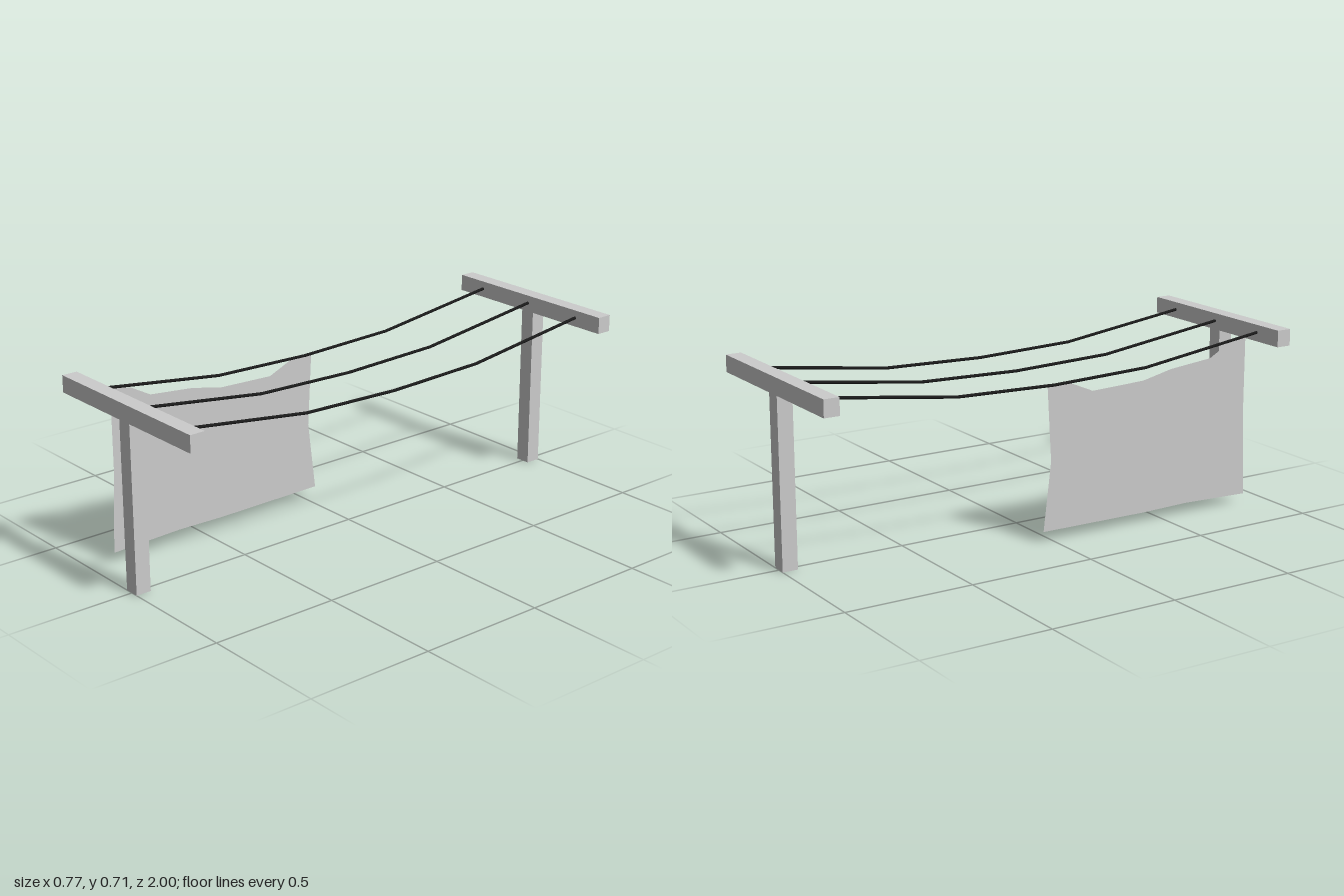
import * as THREE from 'three';

const grey = new THREE.MeshStandardMaterial({ color: 0xcccccc, flatShading: true });
const dark = new THREE.MeshStandardMaterial({ color: 0x1a1a1a });
const cloth = new THREE.MeshStandardMaterial({ color: 0xcccccc, side: THREE.DoubleSide });

const LINE_X = 0.258;

function add(parent, name, geometry, material, x = 0, y = 0, z = 0) {
  const mesh = new THREE.Mesh(geometry, material);
  mesh.name = name;
  mesh.position.set(x, y, z);
  parent.add(mesh);
  return mesh;
}

// Sagging line in four straight segments, one ring at each control point
function lineGeometry() {
  const points = [[0.95, 0.681], [0.41, 0.609], [0, 0.597], [-0.41, 0.609], [-0.95, 0.681]]
    .map(([z, y]) => new THREE.Vector3(0, y, z));
  const curve = new THREE.CatmullRomCurve3(points);
  curve.getPointAt = curve.getPoint;
  curve.getTangentAt = curve.getTangent;
  return new THREE.TubeGeometry(curve, 4, 0.006, 8);
}

// Flat hanging sheet with a drooping top edge, outlined as (z, y)
function sheetGeometry() {
  const outline = [
    [0.9, 0.035], [0.61, 0.044], [0.41, 0.04], [-0.045, 0.043],
    [-0.013, 0.31], [-0.03, 0.595], [0.07, 0.595], [0.17, 0.552],
    [0.4, 0.56], [0.53, 0.588], [0.715, 0.606], [0.8, 0.653],
    [0.885, 0.67], [0.885, 0.36],
  ].map(([z, y]) => new THREE.Vector2(z, y));
  return new THREE.ShapeGeometry(new THREE.Shape(outline)).rotateY(-Math.PI / 2);
}

export function createModel() {
  const model = new THREE.Group();
  model.name = 'clothesline';

  // T-shaped supports at both ends
  for (const [name, side] of [['front', 1], ['back', -1]]) {
    const support = new THREE.Group();
    support.name = name + 'Support';
    support.position.z = side * 0.97;
    add(support, 'post', new THREE.BoxGeometry(0.06, 0.645, 0.06), grey, 0, 0.3225);
    add(support, 'crossbar', new THREE.BoxGeometry(0.77, 0.065, 0.06), grey, 0, 0.6775);
    model.add(support);
  }

  // Three parallel lines
  const line = lineGeometry();
  for (const [name, x] of [['rightLine', -LINE_X], ['middleLine', 0], ['leftLine', LINE_X]]) {
    add(model, name, line, dark, x);
  }

  // Sheet hung on the right line
  add(model, 'hangingSheet', sheetGeometry(), cloth, -LINE_X);

  return model;
}
